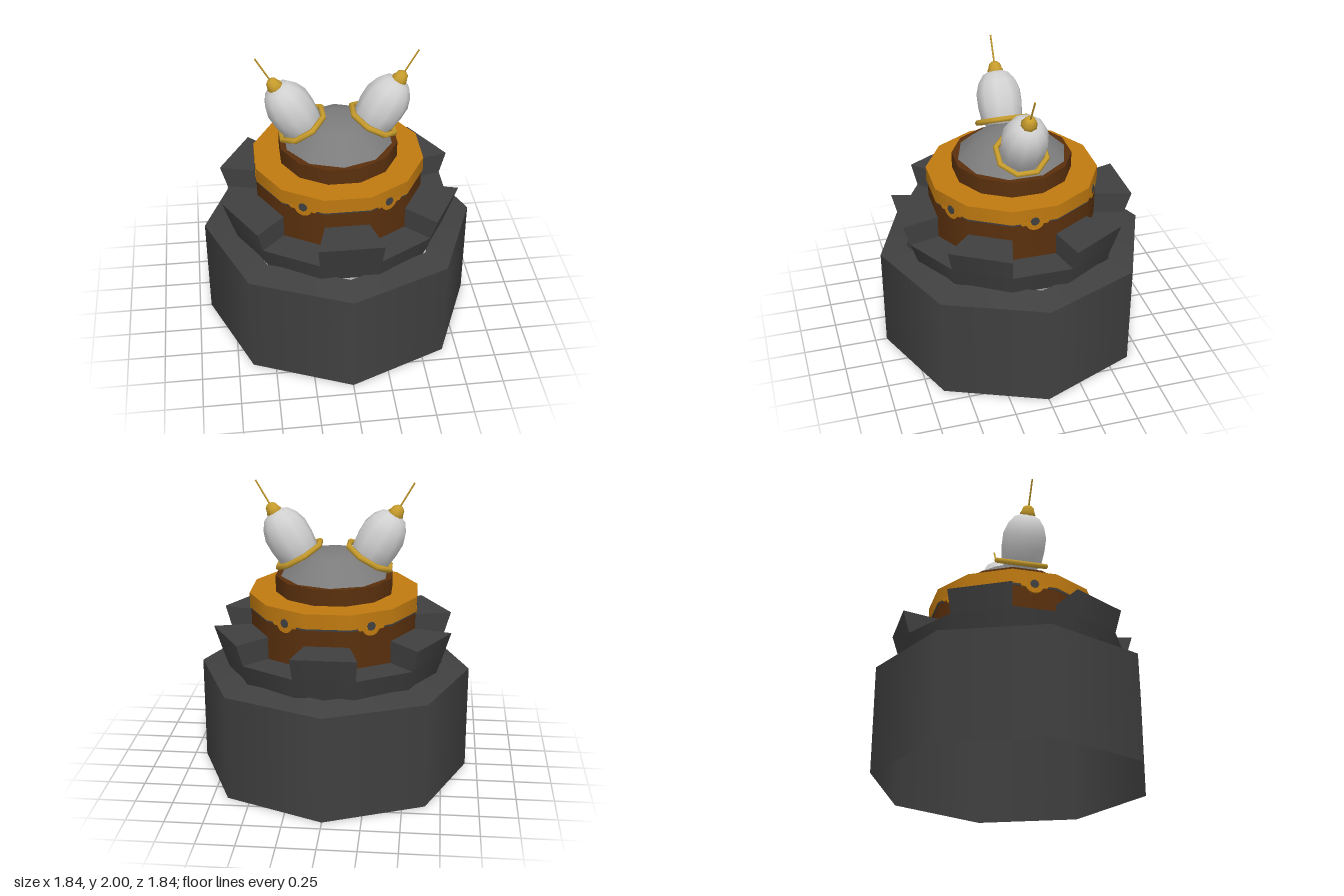
import * as THREE from 'three';

const material = (name, color, side = THREE.FrontSide) => {
  const m = new THREE.MeshStandardMaterial({ color, side });
  m.name = name;
  return m;
};

export function createModel() {
  const model = new THREE.Group();
  model.name = 'fortifiedTurret';
  const dark = material('darkGrey', 0x404040, THREE.DoubleSide);
  const orange = material('orange', 0xc07a10);
  const brown = material('brown', 0x5a300d);
  const grey = material('midGrey', 0x7c7c7c);
  const white = material('paleGrey', 0xd0d0d0);
  const gold = material('gold', 0xc79c2c);

  const add = (parent, name, geometry, mat) => {
    const mesh = new THREE.Mesh(geometry, mat);
    mesh.name = name;
    parent.add(mesh);
    return mesh;
  };
  const lathe = (points, sides) =>
    new THREE.LatheGeometry(points.map(([r, y]) => new THREE.Vector2(r, y)), sides);

  // Open eight-sided base with a shallow sloping shoulder
  const base = new THREE.CylinderGeometry(0.92, 0.92, 0.72, 8, 1, true);
  add(model, 'baseWall', base.translate(0, 0.36, 0), dark);
  const shoulder = new THREE.CylinderGeometry(0.74, 0.92, 0.045, 8, 1, true);
  add(model, 'baseShoulder', shoulder.translate(0, 0.7425, 0), dark);

  // Twelve-sided tiers, with a flat facing the front; radii measured to the flats
  const FLAT = Math.cos(Math.PI / 12);
  const tier = (name, bottomR, topR, y0, y1, mat) => {
    const g = new THREE.CylinderGeometry(topR / FLAT, bottomR / FLAT, y1 - y0, 12);
    g.rotateY(Math.PI / 12).translate(0, (y0 + y1) / 2, 0);
    return add(model, name, g, mat);
  };
  tier('battlementRing', 0.695, 0.745, 0.745, 0.9, dark);
  tier('drum', 0.545, 0.545, 0.9, 1.18, brown);
  tier('darkTrim', 0.55, 0.55, 1.157, 1.175, dark);
  tier('orangeBand', 0.555, 0.555, 1.17, 1.27, orange);
  tier('upperDrum', 0.385, 0.385, 1.27, 1.38, brown);

  // One wedge-shaped merlon: a box widened along radial lines and flared outward
  const merlon = new THREE.BoxGeometry(1, 0.15, 1);
  const pos = merlon.attributes.position;
  const tan = Math.tan(Math.PI / 12);
  for (let i = 0; i < pos.count; i++) {
    const top = pos.getY(i) > 0;
    const r = pos.getZ(i) < 0 ? 0.53 : top ? 0.79 : 0.745;
    pos.setXYZ(i, Math.sign(pos.getX(i)) * r * tan, top ? 1.05 : 0.9, r);
  }
  merlon.computeVertexNormals();
  // Round the shading of the outer face to match the ring below
  for (let i = 16; i < 20; i++) {
    const n = new THREE.Vector3(pos.getX(i), 0, pos.getZ(i)).normalize();
    n.y = -0.3;
    n.normalize();
    merlon.attributes.normal.setXYZ(i, n.x, n.y, n.z);
  }

  // Scalloped plate hanging from the band around each bolt
  const scallop = new THREE.Shape();
  scallop.moveTo(0.1, 0);
  scallop.lineTo(-0.1, 0);
  scallop.lineTo(-0.085, -0.022);
  scallop.lineTo(-0.058, -0.022);
  scallop.absarc(0, 0, 0.062, Math.PI + 0.36, Math.PI * 2 - 0.36, false);
  scallop.lineTo(0.085, -0.022);
  const scallopGeo = new THREE.ExtrudeGeometry(scallop, { depth: 0.012, bevelEnabled: false, curveSegments: 4 });
  const boltGeo = new THREE.CylinderGeometry(0.03, 0.03, 0.008, 8).rotateX(Math.PI / 2);

  for (let i = 0; i < 6; i++) {
    const angle = (i * Math.PI) / 3;
    add(model, 'merlon', merlon, dark).rotation.y = angle;

    const fitting = new THREE.Group();
    fitting.name = 'bandFitting';
    fitting.rotation.y = angle + Math.PI / 6;
    add(fitting, 'scallop', scallopGeo, orange).position.set(0, 1.176, 0.545);
    add(fitting, 'bolt', boltGeo, dark).position.set(0, 1.178, 0.556);
    model.add(fitting);
  }

  // Flattened dome
  add(model, 'dome', lathe([[0.365, 1.38], [0.29, 1.45], [0.19, 1.52], [0.1, 1.54], [0, 1.543]], 10), grey);

  // Pair of pods leaning outward from the dome
  const bodyGeo = lathe([[0, -0.05], [0.1, -0.05], [0.14, 0], [0.152, 0.1], [0.152, 0.19],
    [0.128, 0.26], [0.09, 0.312], [0.04, 0.335], [0, 0.34]], 10);
  const capGeo = lathe([[0.045, 0.315], [0.055, 0.335], [0.045, 0.355], [0.038, 0.38], [0.02, 0.395], [0, 0.396]], 8);
  const collarGeo = new THREE.TorusGeometry(0.168, 0.02, 6, 8).rotateZ(Math.PI / 8).rotateX(Math.PI / 2);
  const needleGeo = new THREE.CylinderGeometry(0.006, 0.006, 0.2, 5).translate(0, 0.475, 0);
  for (const side of [-1, 1]) {
    const pod = new THREE.Group();
    pod.name = side > 0 ? 'leftPod' : 'rightPod';
    pod.position.set(side * 0.235, 1.502, 0);
    pod.rotation.z = -side * Math.PI / 6;
    add(pod, 'podBody', bodyGeo, white);
    add(pod, 'podCollar', collarGeo, gold);
    add(pod, 'podCap', capGeo, gold);
    add(pod, 'podNeedle', needleGeo, gold);
    model.add(pod);
  }
  return model;
}
